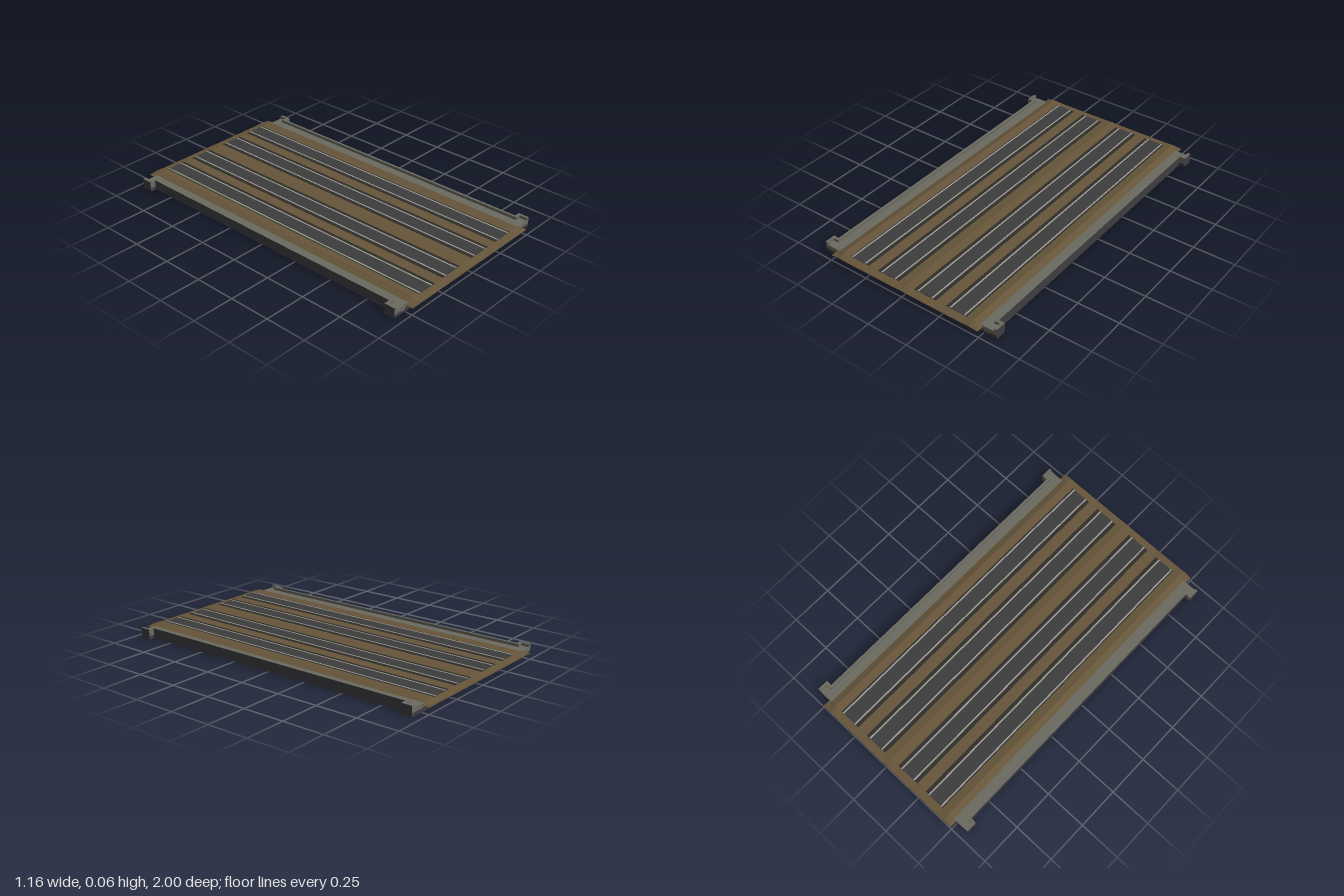
import * as THREE from 'three';

const paint = (name, color) => {
  const m = new THREE.MeshStandardMaterial({ color });
  m.name = name;
  return m;
};

export function createModel() {
  const root = new THREE.Group();
  root.name = 'railwayBridgeDeck';
  const concrete = paint('concrete', 0x6b6a60);
  const steel = paint('dark steel', 0x3d3c3f);
  const ballast = paint('ballast', 0x66553a);
  const bed = paint('track bed', 0x3c3c3c);
  const sleeper = paint('sleeper edge', 0x2e2d28);
  const rail = paint('rail', 0xa19f99);

  const add = (name, geo, mat) => {
    const mesh = new THREE.Mesh(geo, mat);
    mesh.name = name;
    root.add(mesh);
    return mesh;
  };
  // Box between two corners
  const box = (name, mat, x0, x1, y0, y1, z0, z1) => {
    const w = Math.abs(x1 - x0), d = Math.abs(z1 - z0);
    const mesh = add(name, new THREE.BoxGeometry(w, y1 - y0, d), mat);
    mesh.position.set((x0 + x1) / 2, (y0 + y1) / 2, (z0 + z1) / 2);
    return mesh;
  };
  const END = 0.955;

  // Concrete slab with a recessed underside
  box('slab', concrete, -0.53, 0.53, 0.012, 0.043, -END, END);

  for (const s of [1, -1]) {
    // Concrete with its outward side in dark steel
    const faced = s > 0
      ? [steel, concrete, concrete, concrete, concrete, concrete]
      : [concrete, steel, concrete, concrete, concrete, concrete];
    // Side girder and the curb on top of it
    box('sideGirder', steel, s * 0.50, s * 0.545, 0, 0.02, -END, END);
    box('curb', faced, s * 0.53, s * 0.545, 0.02, 0.06, -0.908, 0.908);

    // Stepped wing walls at the corners
    for (const e of [1, -1]) {
      box('wingBase', steel, s * 0.545, s * 0.58, 0, 0.02, e * 0.89, e * END);
      box('wingFloor', faced, s * 0.53, s * 0.58, 0.02, 0.043, e * 0.89, e * END);
      box('wingCrossWall', faced, s * 0.545, s * 0.58, 0.043, 0.06, e * 0.89, e * 0.908);
      box('wingOuterWall', faced, s * 0.563, s * 0.58, 0.043, 0.06, e * 0.908, e * END);
    }
  }

  // End beams with a gently sagging upper edge
  const beam = new THREE.Shape();
  beam.moveTo(-0.5, 0);
  beam.lineTo(0.5, 0);
  beam.lineTo(0.5, 0.024);
  beam.quadraticCurveTo(0, 0.008, -0.5, 0.024);
  for (const e of [1, -1]) {
    const geo = new THREE.ExtrudeGeometry(beam, { depth: 0.03, bevelEnabled: false });
    geo.translate(0, 0, e > 0 ? END - 0.029 : -END - 0.001);
    add('endBeam', geo, steel);
  }

  // Ballast bed: shoulders at the sides, low crown in the middle, tapered ends
  const half = [[0.495, 0.037], [0.44, 0.056], [0.385, 0.0475], [0.05, 0.0475]];
  const profile = new THREE.Shape();
  profile.moveTo(-0.495, 0.036);
  profile.lineTo(0.495, 0.036);
  half.forEach(([x, y]) => profile.lineTo(x, y));
  profile.lineTo(0, 0.053);
  [...half].reverse().forEach(([x, y]) => profile.lineTo(-x, y));
  const bedGeo = new THREE.ExtrudeGeometry(profile, { depth: 2, steps: 40, bevelEnabled: false });
  bedGeo.translate(0, 0, -1);
  const p = bedGeo.attributes.position;
  for (let i = 0; i < p.count; i++) {
    if (Math.abs(p.getZ(i)) > 0.98) p.setY(i, 0.036 + (p.getY(i) - 0.036) * 0.4);
  }
  bedGeo.computeVertexNormals();
  add('ballastBed', bedGeo, ballast);

  // Four tracks: sleeper strip, bed between the rails, two rails
  for (const x of [-0.336, -0.127, 0.122, 0.333]) {
    box('sleeperStrip', sleeper, x - 0.072, x + 0.072, 0.044, 0.0488, -END, END);
    box('trackBed', bed, x - 0.055, x + 0.055, 0.045, 0.0493, -END, END);
    for (const s of [1, -1]) {
      const r = x + s * 0.046;
      box('rail', rail, r - 0.004, r + 0.004, 0.046, 0.0505, -END, END);
    }
  }
  return root;
}
